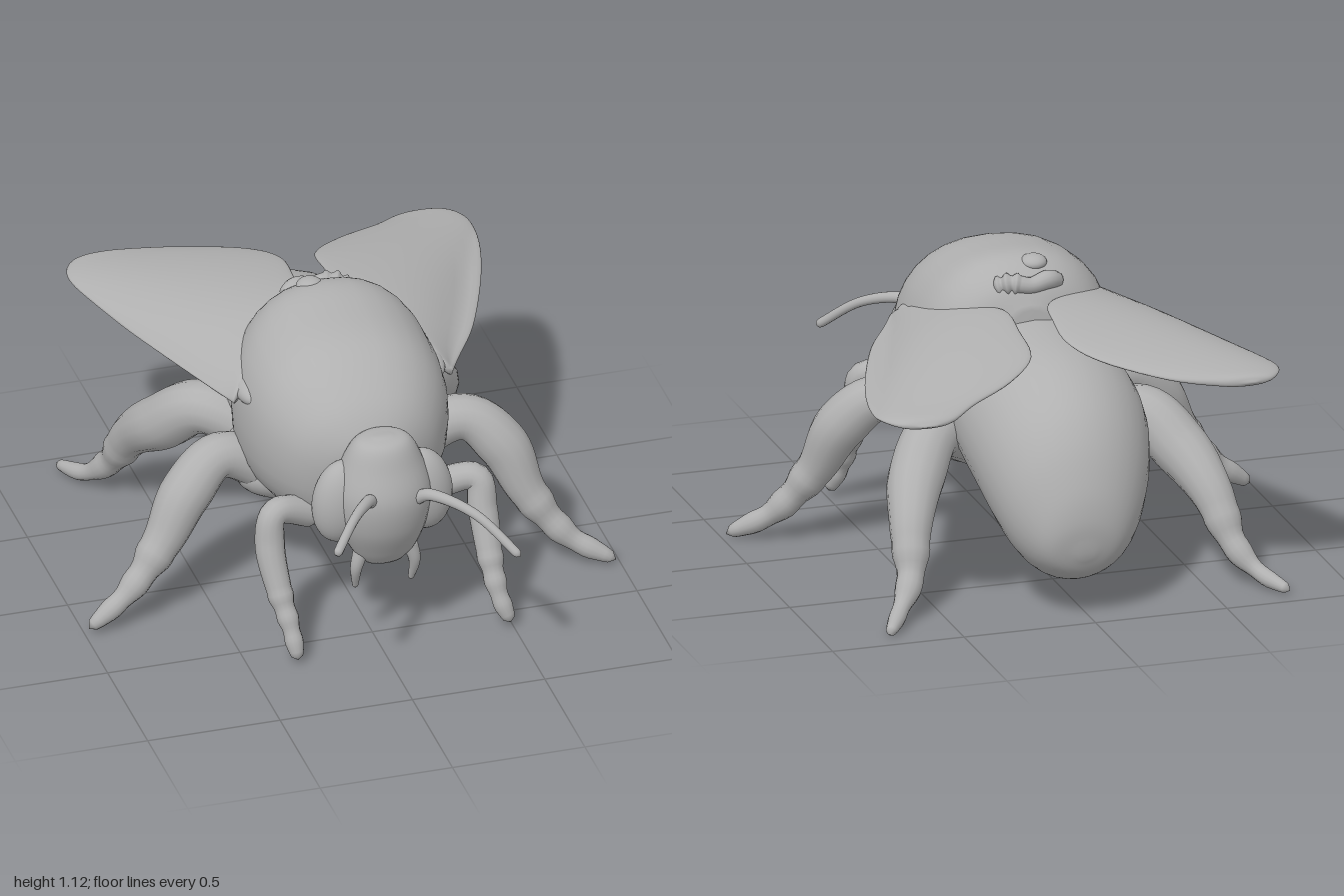
import * as THREE from 'three';
import { mergeVertices } from 'three/addons/utils/BufferGeometryUtils.js';

const V = (x, y, z) => new THREE.Vector3(x, y, z);
const spline = (pts) => new THREE.CatmullRomCurve3(pts, false, 'catmullrom', 0.5);

// Closed skin through cross-sections: a and b are opposite points, w the half-width vector between them
function loft(sections, n = 2, rows = 40, cols = 32) {
  const A = spline(sections.map(s => s.a));
  const B = spline(sections.map(s => s.b));
  const W = spline(sections.map(s => s.w));
  const pos = [], idx = [];
  const pow = (k) => Math.sign(k) * Math.abs(k) ** (2 / n);
  for (let i = 0; i <= rows; i++) {
    const a = A.getPoint(i / rows), b = B.getPoint(i / rows), w = W.getPoint(i / rows);
    const c = a.clone().add(b).multiplyScalar(0.5), u = a.clone().sub(c);
    for (let j = 0; j < cols; j++) {
      const t = (j / cols) * Math.PI * 2;
      const p = c.clone().addScaledVector(u, pow(Math.cos(t))).addScaledVector(w, pow(Math.sin(t)));
      pos.push(p.x, p.y, p.z);
      if (i === rows) continue;
      const k = (j + 1) % cols, r = i * cols, q = r + cols;
      idx.push(r + j, r + k, q + j, r + k, q + k, q + j);
    }
  }
  // end caps
  for (const row of [0, rows]) {
    const c = A.getPoint(row / rows).add(B.getPoint(row / rows)).multiplyScalar(0.5);
    const m = pos.length / 3, r = row * cols;
    pos.push(c.x, c.y, c.z);
    for (let j = 0; j < cols; j++) {
      const k = (j + 1) % cols;
      row ? idx.push(m, r + j, r + k) : idx.push(m, r + k, r + j);
    }
  }
  // turn the faces outward when the sections run the other way
  const P = (i) => V(pos[3 * i], pos[3 * i + 1], pos[3 * i + 2]);
  let volume = 0;
  for (let i = 0; i < idx.length; i += 3) volume += P(idx[i]).dot(P(idx[i + 1]).cross(P(idx[i + 2])));
  if (volume < 0) idx.reverse();
  const g = new THREE.BufferGeometry();
  g.setAttribute('position', new THREE.Float32BufferAttribute(pos, 3));
  g.setIndex(idx);
  g.computeVertexNormals();
  return g;
}

// Limb through [x, y, z, radius] points, with rounded ends and optional joint ripples near the tip
function limb(points, ripple = 0, seg = 48, radial = 14) {
  const curve = spline(points.map(p => V(p[0], p[1], p[2])));
  const radii = spline(points.map(p => V(p[3], 0, 0)));
  let g = new THREE.TubeGeometry(curve, seg, 1, radial);
  const pos = g.attributes.position;
  for (let i = 0; i <= seg; i++) {
    const u = i / seg, c = curve.getPointAt(u);
    const end = Math.max(0, 1 - Math.min(u, 1 - u) / 0.05);
    let r = radii.getPoint(curve.getUtoTmapping(u)).x * Math.sqrt(1 - end * end);
    if (u > 0.65) r *= 1 + ripple * Math.sin((u - 0.65) * 55);
    for (let j = 0; j <= radial; j++) {
      const k = i * (radial + 1) + j;
      const p = V().fromBufferAttribute(pos, k).sub(c).multiplyScalar(r).add(c);
      pos.setXYZ(k, p.x, p.y, p.z);
    }
  }
  g.deleteAttribute('normal');
  g.deleteAttribute('uv');
  g = mergeVertices(g, 1e-5);
  g.computeVertexNormals();
  return g;
}

export function createModel() {
  const group = new THREE.Group();
  const grey = new THREE.MeshStandardMaterial({ color: 0xb0b0b0 });
  grey.name = 'grey';
  const add = (name, geometry) => {
    const m = new THREE.Mesh(geometry, grey);
    m.name = name;
    group.add(m);
    return m;
  };
  const ball = (name, x, y, z, rx, ry, rz) => {
    const m = add(name, new THREE.SphereGeometry(1, 28, 20));
    m.position.set(x, y, z);
    m.scale.set(rx, ry, rz);
    return m;
  };
  // body sections: [zTop, yTop, zBottom, yBottom, halfWidth, xCentre]
  const body = (rows) => rows.map(([za, ya, zb, yb, w, x = 0]) => ({ a: V(x, ya, za), b: V(x, yb, zb), w: V(w, 0, 0) }));

  // Thorax
  add('thorax', loft(body([
    [0.55, 0.74, 0.50, 0.60, 0.06], [0.515, 0.86, 0.45, 0.47, 0.19], [0.43, 0.97, 0.37, 0.41, 0.29],
    [0.26, 1.08, 0.23, 0.37, 0.365], [0.05, 1.12, 0.05, 0.345, 0.385], [-0.12, 1.13, -0.12, 0.34, 0.355, 0.01],
    [-0.23, 1.07, -0.26, 0.36, 0.28, 0.015], [-0.29, 0.97, -0.33, 0.42, 0.12, 0.01]]), 2.3));

  // Abdomen, curling down at the tail
  add('abdomen', loft(body([
    [-0.05, 0.85, 0.0, 0.36, 0.2], [-0.2, 0.93, -0.15, 0.335, 0.31], [-0.42, 0.92, -0.38, 0.305, 0.34],
    [-0.62, 0.88, -0.54, 0.235, 0.335], [-0.79, 0.79, -0.66, 0.17, 0.305, 0.01], [-0.9, 0.67, -0.77, 0.13, 0.26, 0.02],
    [-0.97, 0.52, -0.86, 0.135, 0.2, 0.025], [-0.995, 0.4, -0.94, 0.18, 0.13, 0.03],
    [-0.99, 0.3, -0.98, 0.25, 0.03, 0.03]]), 2));

  // Head: the sections run from crown to mouth, front point to back point
  add('head', loft(body([
    [0.60, 0.885, 0.57, 0.885, 0.03, 0.015], [0.655, 0.86, 0.50, 0.87, 0.1, 0.015], [0.69, 0.78, 0.45, 0.79, 0.145, 0.015],
    [0.725, 0.66, 0.42, 0.66, 0.18, 0.015], [0.705, 0.53, 0.44, 0.53, 0.165, 0.015],
    [0.65, 0.42, 0.5, 0.42, 0.12, 0.02], [0.61, 0.36, 0.55, 0.37, 0.07, 0.02]]), 2));
  for (const s of [-1, 1]) {
    ball('eye', 0.02 + s * 0.155, 0.62, 0.555, 0.108, 0.165, 0.082).rotation.z = s * 0.12;
    add('mandible', limb([[0.025 + s * 0.09, 0.42, 0.58, 0.03], [0.025 + s * 0.11, 0.34, 0.58, 0.022],
      [0.025 + s * 0.105, 0.245, 0.55, 0.01]]));
  }

  // Antennae
  add('rightAntenna', limb([[-0.05, 0.64, 0.66, 0.026], [-0.08, 0.70, 0.72, 0.023], [-0.17, 0.71, 0.84, 0.018], [-0.285, 0.665, 0.995, 0.017]]));
  add('leftAntenna', limb([[0.1, 0.64, 0.66, 0.026], [0.16, 0.69, 0.73, 0.022], [0.29, 0.65, 0.85, 0.018], [0.415, 0.53, 0.98, 0.017]]));

  // Legs
  const legs = {
    rightFrontLeg: [[-0.18, 0.48, 0.38, 0.06], [-0.345, 0.54, 0.435, 0.05], [-0.375, 0.42, 0.46, 0.055],
      [-0.36, 0.27, 0.52, 0.047], [-0.335, 0.14, 0.585, 0.035], [-0.32, 0.025, 0.635, 0.028]],
    leftFrontLeg: [[0.22, 0.48, 0.34, 0.06], [0.415, 0.54, 0.4, 0.05], [0.435, 0.42, 0.44, 0.055],
      [0.44, 0.27, 0.51, 0.047], [0.455, 0.14, 0.57, 0.036], [0.49, 0.03, 0.61, 0.028]],
    rightMiddleLeg: [[-0.18, 0.44, 0.04, 0.1], [-0.43, 0.575, 0.05, 0.085], [-0.58, 0.47, 0.095, 0.095],
      [-0.68, 0.31, 0.135, 0.075], [-0.82, 0.15, 0.185, 0.046], [-0.985, 0.03, 0.215, 0.028]],
    leftMiddleLeg: [[0.18, 0.44, 0.02, 0.1], [0.46, 0.575, 0.04, 0.085], [0.61, 0.47, 0.095, 0.095],
      [0.69, 0.29, 0.155, 0.07], [0.82, 0.12, 0.22, 0.046], [0.985, 0.025, 0.29, 0.028]],
    rightHindLeg: [[-0.15, 0.44, -0.18, 0.09], [-0.38, 0.555, -0.32, 0.098], [-0.5, 0.445, -0.45, 0.105],
      [-0.57, 0.32, -0.595, 0.08], [-0.62, 0.15, -0.71, 0.052], [-0.69, 0.06, -0.8, 0.032], [-0.76, 0.03, -0.94, 0.024]],
    leftHindLeg: [[0.15, 0.44, -0.18, 0.09], [0.38, 0.555, -0.32, 0.098], [0.5, 0.445, -0.45, 0.105],
      [0.57, 0.32, -0.595, 0.08], [0.61, 0.15, -0.71, 0.052], [0.68, 0.06, -0.8, 0.032], [0.76, 0.025, -0.93, 0.024]],
  };
  for (const name in legs) add(name, limb(legs[name], 0.08));
  for (const s of [-1, 1]) {
    ball('legBase', s * 0.2, 0.48, -0.15, 0.15, 0.11, 0.13);
    ball('legBase', s * 0.2, 0.48, 0.03, 0.18, 0.11, 0.14);
    ball('legBase', s * 0.17, 0.5, 0.33, 0.13, 0.09, 0.09);
  }

  // Wings: rows of [outer x, z, inner x, z], then arched up from the leading edge and flattening toward the tip
  const wing = (name, side, tilt, rows) => {
    const g = loft(rows.map(([ox, oz, ix, iz], i) => ({
      a: V(ox, 0, oz), b: V(ix, 0, iz), w: V(0, i === rows.length - 1 ? 0.004 : 0.02, 0),
    })), 2.2, 40, 36);
    const pos = g.attributes.position;
    for (let i = 0; i < pos.count; i++) {
      const x = pos.getX(i), z = pos.getZ(i);
      const inward = Math.max(0, -0.931 * (side * x - 0.41) - 0.365 * (z - 0.12));
      const back = Math.min(1, Math.max(0, (-z - 0.2) / 0.78));
      const arch = 0.17 * (1 - back ** 1.7) * (1 - Math.exp(-5 * inward));
      pos.setY(i, pos.getY(i) + 0.836 + tilt * z + arch);
    }
    g.computeVertexNormals();
    add(name, g);
  };
  wing('leftWing', 1, 0.012, [[0.41, 0.15, 0.37, 0.13], [0.46, 0.06, 0.24, -0.15], [0.57, -0.13, 0.115, -0.28],
    [0.68, -0.4, 0.115, -0.47], [0.75, -0.62, 0.13, -0.65], [0.78, -0.78, 0.25, -0.78],
    [0.775, -0.88, 0.42, -0.88], [0.73, -0.95, 0.52, -0.955], [0.65, -0.98, 0.6, -0.98]]);
  wing('rightWing', -1, -0.02, [[-0.41, 0.12, -0.37, 0.1], [-0.45, 0.03, -0.2, -0.17], [-0.54, -0.2, -0.05, -0.3],
    [-0.63, -0.44, -0.015, -0.46], [-0.7, -0.65, -0.015, -0.62], [-0.74, -0.8, -0.1, -0.76],
    [-0.735, -0.89, -0.3, -0.9], [-0.69, -0.955, -0.48, -0.96], [-0.62, -0.975, -0.58, -0.975]]);

  // Wing joints and the ragged rim at the back of the thorax
  for (const s of [-1, 1]) ball('wingJoint', s * 0.34, 0.855, 0.07, 0.055, 0.045, 0.12);
  add('thoraxRim', limb([[-0.12, 1.04, -0.2, 0.03], [-0.07, 1.06, -0.23, 0.035], [0.0, 1.05, -0.245, 0.03],
    [0.07, 1.06, -0.23, 0.035], [0.13, 1.04, -0.2, 0.03]], 0.2));
  ball('tuft', -0.04, 1.105, -0.15, 0.05, 0.03, 0.05);
  return group;
}
